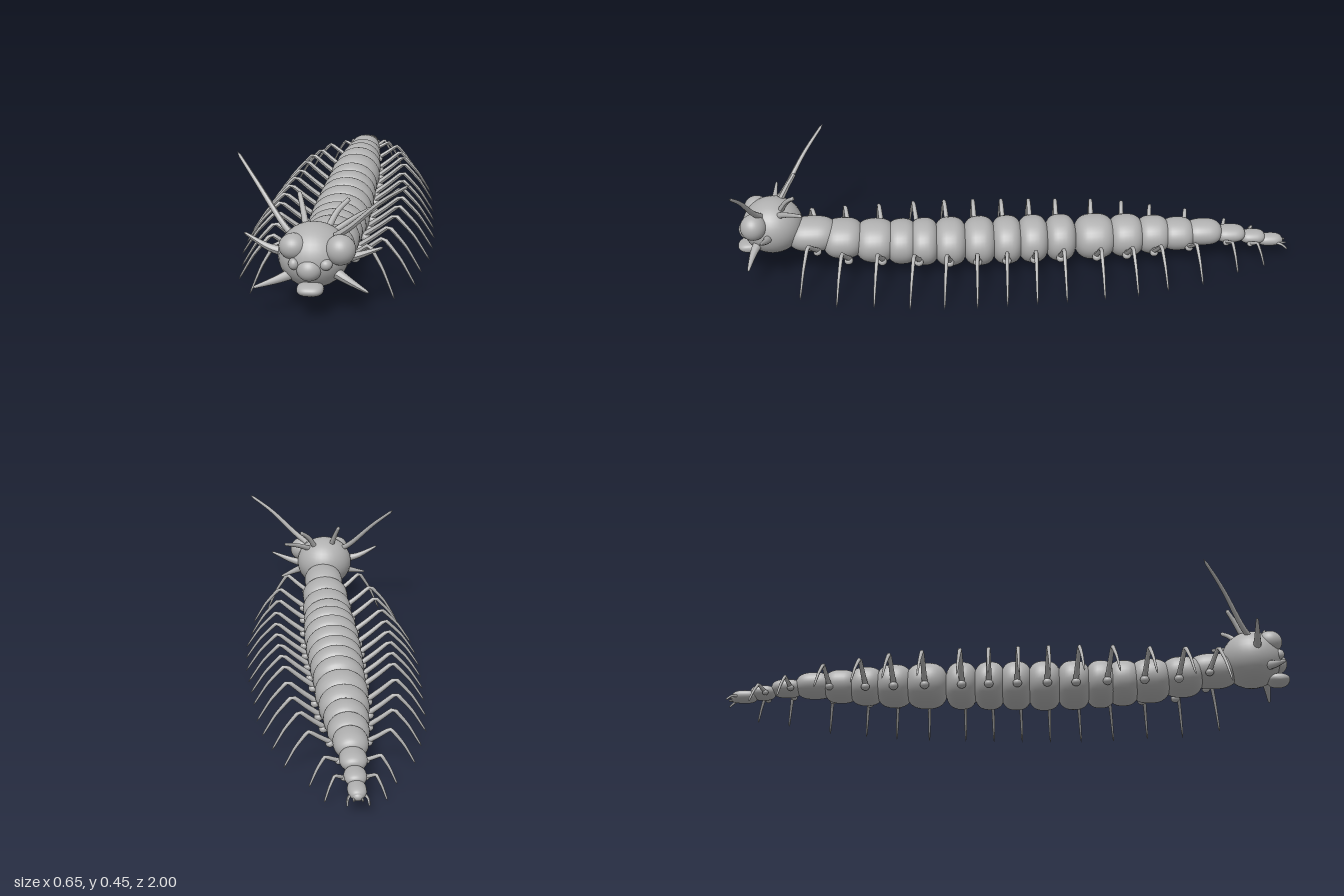
import * as THREE from 'three';

const skin = new THREE.MeshStandardMaterial({ color: 0xb0b0b0 });
skin.name = 'grey skin';

// Body segments, front to back: z, half width, top y, bottom y, half length
const SEGMENTS = [
  [0.73, 0.076, 0.203, 0.08, 0.09], [0.62, 0.089, 0.19, 0.05, 0.075],
  [0.505, 0.094, 0.183, 0.03, 0.075], [0.41, 0.095, 0.178, 0.02, 0.06],
  [0.33, 0.1, 0.178, 0.013, 0.056], [0.235, 0.103, 0.178, 0.008, 0.062],
  [0.13, 0.102, 0.178, 0.006, 0.062], [0.03, 0.1, 0.178, 0.008, 0.058],
  [-0.065, 0.097, 0.178, 0.01, 0.058], [-0.165, 0.093, 0.178, 0.012, 0.058],
  [-0.29, 0.093, 0.176, 0.015, 0.076], [-0.405, 0.087, 0.172, 0.02, 0.066],
  [-0.505, 0.077, 0.165, 0.028, 0.062], [-0.595, 0.07, 0.155, 0.038, 0.062],
  [-0.69, 0.058, 0.147, 0.054, 0.068], [-0.79, 0.045, 0.122, 0.06, 0.055],
  [-0.875, 0.036, 0.1, 0.05, 0.045], [-0.94, 0.03, 0.083, 0.038, 0.045],
];

// Legs: root z, tip z, tip x, root x, root y, knee y
const LEGS = [
  [0.71, 0.77, 0.23, 0.07, 0.105, 0.165], [0.6, 0.64, 0.288, 0.085, 0.075, 0.15],
  [0.48, 0.51, 0.3, 0.09, 0.07, 0.148], [0.35, 0.385, 0.32, 0.095, 0.065, 0.147],
  [0.24, 0.265, 0.325, 0.098, 0.06, 0.146], [0.14, 0.15, 0.325, 0.098, 0.06, 0.146],
  [0.035, 0.045, 0.318, 0.095, 0.06, 0.146], [-0.065, -0.06, 0.312, 0.092, 0.06, 0.146],
  [-0.16, -0.165, 0.305, 0.088, 0.06, 0.146], [-0.29, -0.3, 0.295, 0.088, 0.06, 0.143],
  [-0.4, -0.42, 0.28, 0.082, 0.06, 0.138], [-0.5, -0.53, 0.25, 0.073, 0.062, 0.13],
  [-0.63, -0.66, 0.215, 0.06, 0.07, 0.12], [-0.77, -0.8, 0.14, 0.042, 0.075, 0.098],
  [-0.86, -0.905, 0.098, 0.034, 0.062, 0.08],
];

function add(parent, geometry, name) {
  const mesh = new THREE.Mesh(geometry, skin);
  mesh.name = name;
  parent.add(mesh);
  return mesh;
}

function ball(parent, name, position, radii) {
  const mesh = add(parent, new THREE.SphereGeometry(1, 32, 20), name);
  mesh.position.set(...position);
  mesh.scale.set(...radii);
  return mesh;
}

// Round limb that narrows from r0 to r1 along a curve
function limb(parent, name, points, r0, r1, tension = 0.5) {
  const v = points.map((p) => new THREE.Vector3(...p));
  const curve = new THREE.CatmullRomCurve3(v, false, 'catmullrom', tension);
  const rings = 20, sides = 10;
  const geometry = new THREE.TubeGeometry(curve, rings, r0, sides);
  const pos = geometry.attributes.position, p = new THREE.Vector3();
  for (let i = 0; i <= rings; i++) {
    const centre = curve.getPointAt(i / rings);
    const s = i === rings ? 0.05 : THREE.MathUtils.lerp(1, r1 / r0, i / rings);
    for (let j = 0; j <= sides; j++) {
      const k = i * (sides + 1) + j;
      p.fromBufferAttribute(pos, k).sub(centre).multiplyScalar(s).add(centre);
      pos.setXYZ(k, p.x, p.y, p.z);
    }
  }
  geometry.computeVertexNormals();
  return add(parent, geometry, name);
}

// Barrel with rounded shoulders, axis along z
function barrelGeometry() {
  const profile = [];
  for (let i = 0; i <= 20; i++) {
    const a = -Math.PI / 2 + (Math.PI * i) / 20;
    const c = Math.max(Math.cos(a), 0), s = Math.sin(a);
    profile.push(new THREE.Vector2(c < 1e-6 ? 0 : c ** 0.75, Math.sign(s) * Math.abs(s) ** 0.75));
  }
  return new THREE.LatheGeometry(profile, 36).rotateX(Math.PI / 2);
}

export function createModel() {
  const model = new THREE.Group();
  model.name = 'crawler';

  // Segmented body
  const body = new THREE.Group();
  body.name = 'body';
  model.add(body);
  const barrel = barrelGeometry();
  SEGMENTS.forEach(([z, w, top, bottom, len], i) => {
    const mesh = add(body, barrel, `segment${i + 1}`);
    mesh.position.set(0, (top + bottom) / 2, z);
    mesh.scale.set(w, (top - bottom) / 2, len);
  });

  // Mirrored pairs of jointed legs with a knob at each root
  const legs = new THREE.Group();
  legs.name = 'legs';
  model.add(legs);
  for (const side of [-1, 1]) {
    for (const [z0, z1, tipX, x0, y0, kneeY] of LEGS) {
      const at = (t, y) => [side * (x0 + (tipX - x0) * t), y, z0 + (z1 - z0) * t];
      const size = 0.5 + 0.5 * Math.min(1, tipX / 0.28);
      limb(legs, 'leg', [
        at(-0.05, y0), at(0.22, y0 + (kneeY - y0) * 0.52), at(0.45, kneeY),
        at(0.52, kneeY * 0.96), at(0.76, kneeY * 0.57), at(1, 0.002),
      ], 0.0105 * size, 0.003, 0.3);
      ball(legs, 'legRoot', at(0.02, y0), [0.016 * size, 0.014 * size, 0.016 * size]);
    }
  }

  // Head with eyes, snout and mouth
  const head = new THREE.Group();
  head.name = 'head';
  model.add(head);
  ball(head, 'skull', [-0.012, 0.178, 0.87], [0.11, 0.101, 0.108]);
  ball(head, 'rightEye', [-0.067, 0.222, 0.93], [0.044, 0.04, 0.044]);
  ball(head, 'leftEye', [0.077, 0.215, 0.93], [0.047, 0.047, 0.046]);
  ball(head, 'snout', [-0.015, 0.159, 0.958], [0.039, 0.036, 0.036]);
  ball(head, 'rightKnob', [-0.061, 0.177, 0.96], [0.017, 0.019, 0.02]);
  ball(head, 'leftKnob', [0.036, 0.177, 0.96], [0.02, 0.018, 0.02]);
  const mouth = add(head, barrel, 'mouth');
  mouth.position.set(-0.012, 0.097, 0.96);
  mouth.rotation.y = Math.PI / 2;
  mouth.scale.set(0.04, 0.02, 0.041);

  // Feelers
  limb(head, 'rightAntenna', [[-0.08, 0.235, 0.86], [-0.12, 0.27, 0.825], [-0.2, 0.365, 0.76], [-0.275, 0.447, 0.69]], 0.011, 0.005);
  limb(head, 'leftAntenna', [[0.06, 0.25, 0.905], [0.11, 0.29, 0.925], [0.2, 0.375, 0.95], [0.286, 0.437, 0.973]], 0.011, 0.005);
  limb(head, 'rightHorn', [[-0.04, 0.26, 0.84], [-0.052, 0.305, 0.815], [-0.067, 0.352, 0.785]], 0.011, 0.007);
  limb(head, 'leftHorn', [[0.03, 0.255, 0.835], [0.055, 0.3, 0.81], [0.09, 0.333, 0.78]], 0.011, 0.007);
  limb(head, 'leftRearFeeler', [[0.05, 0.245, 0.84], [0.1, 0.272, 0.8], [0.156, 0.295, 0.75]], 0.011, 0.006);

  // Cheek spikes
  limb(head, 'rightCheekSpike', [[-0.1, 0.185, 0.88], [-0.155, 0.2, 0.875], [-0.228, 0.24, 0.868]], 0.016, 0.004);
  limb(head, 'leftCheekSpike', [[0.08, 0.17, 0.88], [0.13, 0.185, 0.885], [0.203, 0.215, 0.895]], 0.016, 0.004);
  limb(head, 'rightJawSpike', [[-0.075, 0.13, 0.92], [-0.12, 0.115, 0.94], [-0.187, 0.096, 0.963]], 0.018, 0.004);
  limb(head, 'leftJawSpike', [[0.06, 0.14, 0.92], [0.1, 0.12, 0.935], [0.165, 0.087, 0.95]], 0.018, 0.004);

  // Tail tip with a fan of small spikes
  const tail = new THREE.Group();
  tail.name = 'tail';
  model.add(tail);
  ball(tail, 'tailTip', [0, 0.056, -0.97], [0.02, 0.016, 0.02]);
  for (const x of [-0.034, -0.014, 0.014, 0.034]) {
    const y = Math.abs(x) > 0.02 ? 0.035 : 0.052;
    limb(tail, 'tailSpike', [[x * 0.5, 0.056, -0.955], [x * 0.9, 0.052, -0.98], [x, y, -1]], 0.006, 0.003);
  }
  return model;
}
